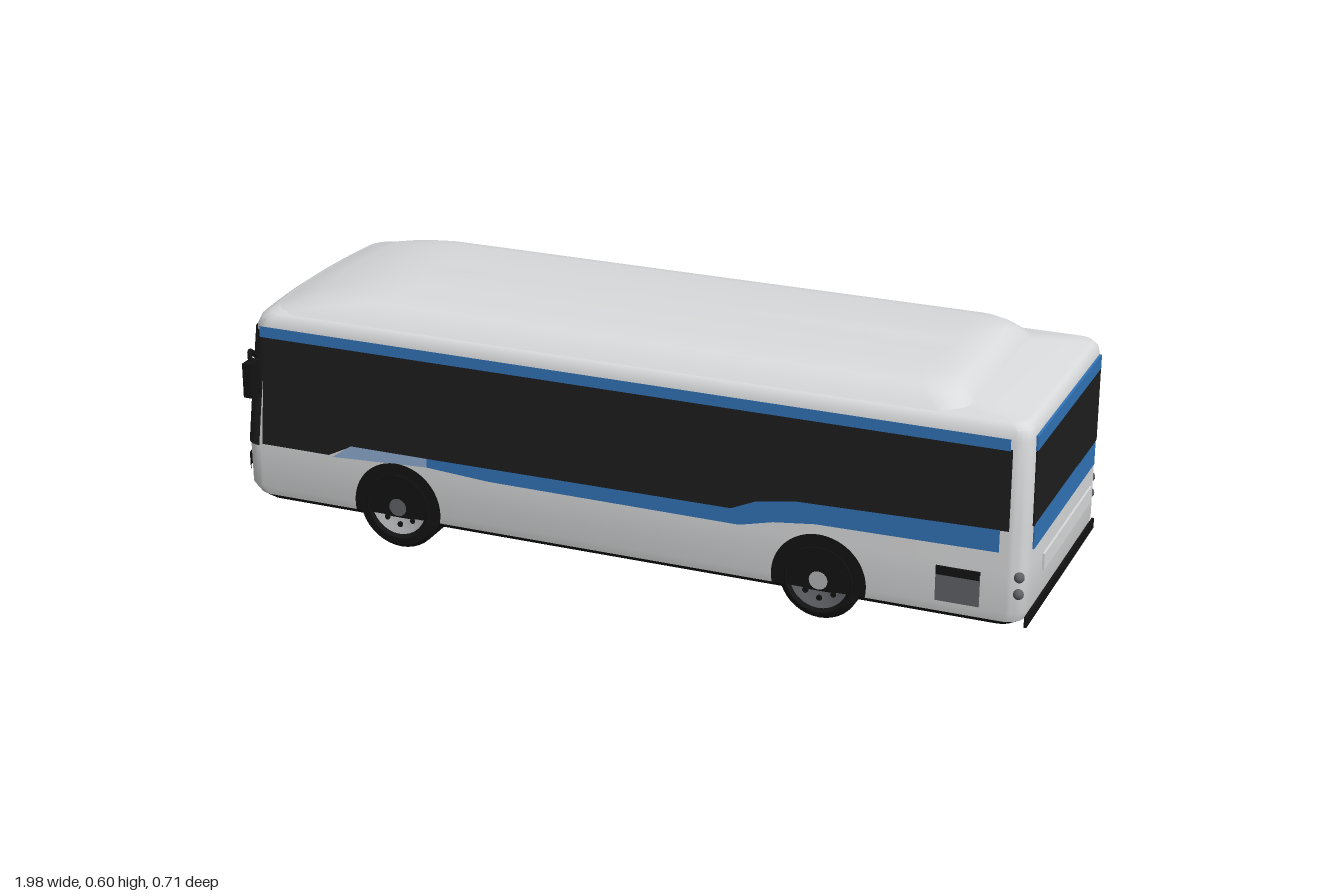
import * as THREE from 'three';
import { toCreasedNormals } from 'three/addons/utils/BufferGeometryUtils.js';

const mat = (name, color, side = THREE.FrontSide) => {
  const m = new THREE.MeshStandardMaterial({ color, side });
  m.name = name;
  return m;
};

const CZ = -0.0175; // the body sits slightly off centre because of the mirrors
const HW = 0.306;

// Body levels: y, front x, rear x, half width, corner radius
const BODY = [
  [0.078, -0.95, 0.972, 0.301, 0.04],
  [0.1, -0.967, 0.98, HW, 0.04],
  [0.2, -0.968, 0.98, HW, 0.04],
  [0.3, -0.957, 0.98, HW, 0.04],
  [0.505, -0.932, 0.979, HW, 0.04],
  [0.528, -0.922, 0.975, 0.301, 0.04],
  [0.54, -0.905, 0.966, 0.291, 0.04],
  [0.545, -0.885, 0.955, 0.278, 0.04],
];
const UNDER = [
  [0.066, -0.93, 0.955, 0.29, 0.04],
  BODY[0],
];
const ROOF = [
  [0.53, -0.917, 0.83, 0.297, 0.06],
  [0.55, -0.88, 0.82, 0.281, 0.07],
  [0.57, -0.81, 0.802, 0.262, 0.08],
  [0.583, -0.74, 0.785, 0.24, 0.08],
  [0.591, -0.69, 0.765, 0.2, 0.08],
  [0.597, -0.6, 0.72, 0.06, 0.04],
];

// Rounded plan outline with a bowed nose; points 0-24 run round the front
function ring([y, x0, x1, hw, r]) {
  const pts = [];
  const bow = 0.022;
  const nose = (z) => x0 + bow * (z / hw) ** 2;
  const arc = (cx, cz, from, shiftNose) => {
    for (let i = 0; i <= 6; i++) {
      const a = from - (i / 6) * Math.PI / 2;
      const z = cz + r * Math.sin(a);
      const x = cx + r * Math.cos(a);
      pts.push([shiftNose ? x + nose(z) - x0 : x, y, z + CZ]);
    }
  };
  arc(x0 + r, -hw + r, 1.5 * Math.PI, true);
  for (let i = 1; i < 12; i++) {
    const z = (hw - r) * (i / 6 - 1);
    pts.push([nose(z), y, z + CZ]);
  }
  arc(x0 + r, hw - r, Math.PI, true);
  arc(x1 - r, hw - r, Math.PI / 2, false);
  arc(x1 - r, -hw + r, 0, false);
  return pts;
}

// Skin a stack of outlines, whole or between two outline points
function loft(levels, { from = 0, to = null, top = false, bottom = false } = {}) {
  const rings = levels.map(ring);
  const n = rings[0].length;
  const end = to === null ? n : to;
  const pos = [];
  const tri = (a, b, c) => pos.push(...a, ...b, ...c);
  for (let k = 0; k < rings.length - 1; k++) {
    for (let j = from; j < end; j++) {
      const i = (j + 1) % n;
      const [a, b, c, d] = [rings[k][j], rings[k][i], rings[k + 1][i], rings[k + 1][j]];
      tri(a, b, c);
      tri(a, c, d);
    }
  }
  const cap = (r, up) => r.forEach((p, j) => {
    const q = r[(j + 1) % n];
    const mid = [0, p[1], CZ];
    if (up) tri(mid, p, q); else tri(mid, q, p);
  });
  if (top) cap(rings[rings.length - 1], true);
  if (bottom) cap(rings[0], false);
  const g = new THREE.BufferGeometry();
  g.setAttribute('position', new THREE.Float32BufferAttribute(pos, 3));
  return toCreasedNormals(g, 0.6);
}

// Thin skin following the body between two heights
function skin(y0, y1, from, to, lift) {
  const ys = [y0, ...BODY.map((l) => l[0]).filter((y) => y > y0 && y < y1), y1];
  const levels = ys.map((y) => {
    const k = BODY.findIndex((l) => l[0] >= y);
    const [a, b] = [BODY[Math.max(k - 1, 0)], BODY[k]];
    const t = a === b ? 0 : (y - a[0]) / (b[0] - a[0]);
    const l = a.map((v, i) => v + (b[i] - v) * t);
    return [y, l[1] - lift, l[2] + lift, l[3] + lift, l[4]];
  });
  return loft(levels, { from, to });
}

const polygon = (pts) => new THREE.ShapeGeometry(new THREE.Shape(pts.map((p) => new THREE.Vector2(...p))));

export function createModel() {
  const bus = new THREE.Group();
  bus.name = 'bus';
  const white = mat('white paint', 0xd9dadb);
  const glass = mat('dark glass', 0x1e1e1e, THREE.DoubleSide);
  const blue = mat('blue stripe', 0x3274b8, THREE.DoubleSide);
  const pale = mat('pale blue stripe', 0x8fadd0, THREE.DoubleSide);
  const black = mat('black rubber', 0x131313, THREE.DoubleSide);
  const silver = mat('wheel silver', 0xb4b5b7);
  const grey = mat('mid grey', 0x606266, THREE.DoubleSide);

  const add = (name, geo, material, x = 0, y = 0, z = 0, parent = bus) => {
    const m = new THREE.Mesh(geo, material);
    m.name = name;
    m.position.set(x, y, z);
    parent.add(m);
    return m;
  };

  // Shell
  add('body', loft(BODY, { top: true }), white);
  add('underside', loft(UNDER, { bottom: true }), black);
  add('roof', loft(ROOF, { top: true }), white);

  // Front end
  add('windscreen', skin(0.205, 0.5, 0, 24, 0.003), glass);
  add('windscreenPanel', skin(0.28, 0.4, 9, 14, 0.005), grey);
  for (const [a, b] of [[3, 8], [16, 21]]) add('headlight', skin(0.135, 0.17, a, b, 0.004), black);

  // Rear end
  const rearPlate = (name, y0, y1, width, m) =>
    add(name, new THREE.BoxGeometry(0.006, y1 - y0, width), m, 0.981, (y0 + y1) / 2, CZ);
  rearPlate('rearWindow', 0.3, 0.476, 0.532, glass);
  rearPlate('rearTopStripe', 0.476, 0.51, 0.535, blue);
  rearPlate('rearLowerStripe', 0.242, 0.302, 0.515, blue);
  rearPlate('rearBumper', 0.067, 0.092, 0.58, black);
  add('engineHatch', new THREE.BoxGeometry(0.008, 0.04, 0.41), white, 0.981, 0.172, CZ - 0.04);

  // Both sides
  const windowShape = [[-0.9, 0.21], [-0.72, 0.21], [-0.66, 0.24], [0.3, 0.243], [0.36, 0.27],
    [0.45, 0.285], [0.94, 0.297], [0.94, 0.487], [-0.88, 0.487]];
  const lowerStripe = [[-0.46, 0.22], [-0.3, 0.21], [0.32, 0.208], [0.4, 0.228], [0.5, 0.24], [0.92, 0.245],
    [0.92, 0.298], [0.45, 0.287], [0.36, 0.272], [0.3, 0.245], [-0.46, 0.242]];
  const paleStripe = [[-0.71, 0.207], [-0.46, 0.22], [-0.46, 0.242], [-0.66, 0.242]];
  const topStripe = [[-0.89, 0.484], [0.935, 0.484], [0.935, 0.511], [-0.89, 0.511]];
  for (const s of [1, -1]) {
    const side = new THREE.Group();
    side.name = s > 0 ? 'frontFacingSide' : 'farSide';
    bus.add(side);
    const at = (d) => CZ + s * (HW + d);
    add('sideWindows', polygon(windowShape), glass, 0, 0, at(0.003), side);
    add('lowerStripe', polygon(lowerStripe), blue, 0, 0, at(0.004), side);
    add('paleStripe', polygon(paleStripe), pale, 0, 0, at(0.004), side);
    add('topStripe', polygon(topStripe), blue, 0, 0, at(0.004), side);
    add('engineGrille', new THREE.BoxGeometry(0.1, 0.08, 0.006), grey, 0.83, 0.147, at(0.001), side);
    add('grilleFrame', new THREE.BoxGeometry(0.1, 0.02, 0.008), black, 0.83, 0.18, at(0.001), side);
    for (const y of [0.15, 0.19]) {
      add('tailLight', new THREE.SphereGeometry(0.012, 12, 8), grey, 0.966, y, at(-0.004), side);
    }

    // Wheels: tyre, rim dish and hub, under a dark arch
    for (const [x, r, rim] of [[-0.54, 0.105, silver], [0.51, 0.096, grey]]) {
      const wheel = new THREE.Group();
      wheel.name = x < 0 ? 'frontWheel' : 'rearWheel';
      wheel.position.set(x, 0.105, at(-0.053));
      if (s < 0) wheel.rotation.y = Math.PI;
      side.add(wheel);
      const profile = [[0.068, 0.05], [0.078, 0.0585], [r - 0.01, 0.0565], [r, 0.046],
        [r, -0.046], [r - 0.01, -0.0585], [0, -0.0585]];
      const tyre = new THREE.LatheGeometry(profile.map((p) => new THREE.Vector2(...p)), 40);
      add('tyre', toCreasedNormals(tyre.rotateX(Math.PI / 2), 0.6), black, 0, 0, 0, wheel);
      const dish = new THREE.LatheGeometry([[0, 0.044], [0.04, 0.044], [0.056, 0.05], [0.069, 0.054], [0.07, 0.048]]
        .map((p) => new THREE.Vector2(...p)).reverse(), 32);
      add('rim', toCreasedNormals(dish.rotateX(Math.PI / 2), 0.6), rim, 0, 0, 0, wheel);
      const hub = new THREE.CylinderGeometry(0.022, 0.028, 0.016, 20).rotateX(Math.PI / 2);
      add('hub', hub, x < 0 ? grey : silver, 0, 0, 0.05, wheel);
      for (let i = 0; i < 8; i++) {
        const a = (i / 8) * Math.PI * 2;
        const hole = new THREE.CylinderGeometry(0.007, 0.007, 0.004, 10).rotateX(Math.PI / 2);
        add('rimHole', hole, black, 0.047 * Math.cos(a), 0.047 * Math.sin(a), 0.047, wheel);
      }
      const arch = new THREE.Shape();
      arch.absarc(0, 0, 0.112, -0.2, Math.PI + 0.2, false);
      add('wheelArch', new THREE.ShapeGeometry(arch, 24), black, x, 0.105, at(0.0045), side);
    }
  }

  // Mirrors on bent arms, the far one reaching ahead of the nose
  const mirror = (name, pts, head) => {
    const g = new THREE.Group();
    g.name = name;
    bus.add(g);
    const path = new THREE.CatmullRomCurve3(pts.map((p) => new THREE.Vector3(...p)));
    add('arm', new THREE.TubeGeometry(path, 16, 0.006, 8), black, 0, 0, 0, g);
    add('head', new THREE.BoxGeometry(...head.size), black, ...head.at, g);
  };
  mirror('leftMirror', [[-0.91, 0.42, 0.27], [-0.91, 0.45, 0.305], [-0.9, 0.45, 0.325], [-0.895, 0.42, 0.33]],
    { size: [0.022, 0.085, 0.042], at: [-0.895, 0.393, 0.332] });
  mirror('rightMirror', [[-0.925, 0.43, -0.28], [-0.96, 0.45, -0.31], [-0.985, 0.45, -0.335], [-0.985, 0.42, -0.342]],
    { size: [0.026, 0.085, 0.028], at: [-0.986, 0.4, -0.341] });

  return bus;
}
